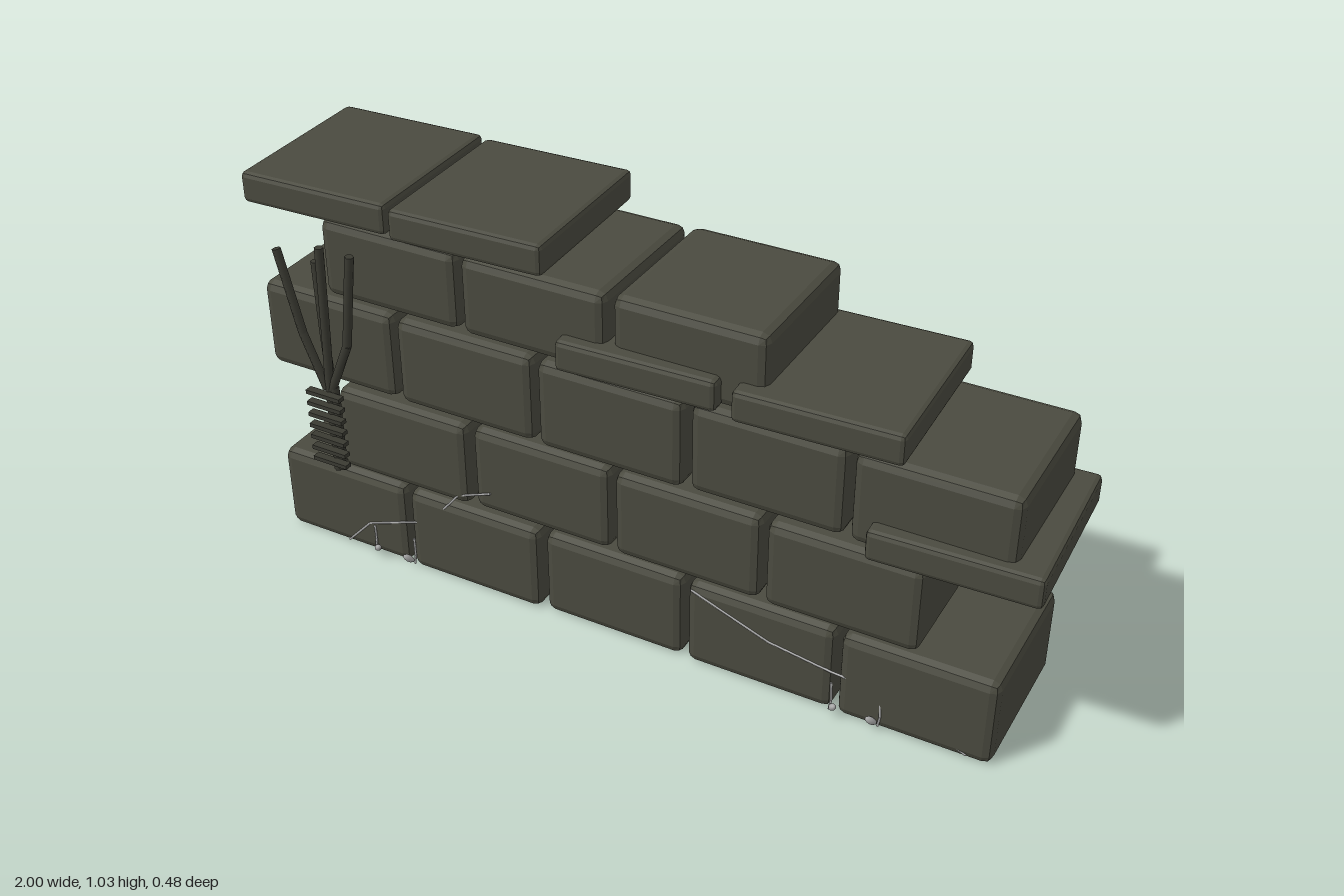
import * as THREE from 'three';
import { RoundedBoxGeometry } from 'three/addons/geometries/RoundedBoxGeometry.js';

export function createModel() {
  const wall = new THREE.Group();
  wall.name = 'ruinedWall';
  const stone = new THREE.MeshStandardMaterial({ name: 'mossy stone', color: 0x4a4a3f });
  const iron = new THREE.MeshStandardMaterial({ name: 'dark iron', color: 0x3a3a32 });
  const pale = new THREE.MeshStandardMaterial({ name: 'pale root', color: 0xa8a8a8 });

  const add = (parent, name, geometry, material, x = 0, y = 0, z = 0) => {
    const mesh = new THREE.Mesh(geometry, material);
    mesh.name = name;
    mesh.position.set(x, y, z);
    parent.add(mesh);
    return mesh;
  };

  // Faceted block with worn edges
  const wornBox = (w, h, d, r) => {
    const g = new RoundedBoxGeometry(w, h, d, 1, r);
    g.computeVertexNormals();
    return g;
  };

  // Courses of stone blocks, stepped down to the right
  const courses = [
    { count: 5, x: -0.81, y0: 0, y1: 0.23 },
    { count: 4, x: -0.614, y0: 0.245, y1: 0.472 },
    { count: 5, x: -0.81, y0: 0.488, y1: 0.716 },
    { count: 3, x: -0.614, y0: 0.733, y1: 0.932 },
  ];
  courses.forEach(({ count, x, y0, y1 }, row) => {
    for (let i = 0; i < count; i++) {
      const depthShift = [0, 0.004, -0.004][(i + row) % 3];
      add(wall, 'stoneBlock', wornBox(0.374, y1 - y0, 0.393, 0.022), stone,
        x + i * 0.388, (y0 + y1) / 2, -0.03 + depthShift);
    }
  });

  // Overhanging cap slabs, slightly twisted
  const slabs = [
    [-0.793, 0.988], [-0.383, 0.988],
    [0.042, 0.772], [0.475, 0.772], [0.797, 0.523],
  ];
  for (const [x, y] of slabs) {
    add(wall, 'capSlab', wornBox(0.392, 0.077, 0.434, 0.012), stone, x, y, -0.016)
      .rotation.y = 0.032;
  }

  // Branching iron fixture with a ribbed handle
  const fixture = new THREE.Group();
  fixture.name = 'branchingFixture';
  wall.add(fixture);
  const bar = (name, points, r, material, parent) => {
    for (let i = 1; i < points.length; i++) {
      const a = new THREE.Vector3(...points[i - 1]);
      const b = new THREE.Vector3(...points[i]);
      const dir = b.clone().sub(a);
      const mid = a.clone().add(b).multiplyScalar(0.5);
      add(parent, name, new THREE.CylinderGeometry(r, r, dir.length(), 6), material, ...mid)
        .quaternion.setFromUnitVectors(new THREE.Vector3(0, 1, 0), dir.normalize());
    }
  };
  [[-0.798, 0.193, 0.26], [-0.782, 0.213, 0.268], [-0.768, 0.211, 0.272]].forEach(([x, z, y]) =>
    bar('handleRod', [[x, y, z], [x, 0.51, z]], 0.011, iron, fixture));
  const prongs = [
    [[-0.79, 0.5, 0.213], [-0.845, 0.64, 0.213], [-0.895, 0.853, 0.213]],
    [[-0.792, 0.5, 0.193], [-0.797, 0.64, 0.193], [-0.8, 0.835, 0.193]],
    [[-0.782, 0.5, 0.213], [-0.776, 0.64, 0.213], [-0.768, 0.887, 0.213]],
    [[-0.775, 0.5, 0.213], [-0.715, 0.64, 0.213], [-0.682, 0.885, 0.213]],
  ];
  prongs.forEach((p) => bar('prong', p, 0.011, iron, fixture));
  for (let i = 0; i < 7; i++) {
    add(fixture, 'handleRib', new THREE.BoxGeometry(0.098, 0.011, 0.02), iron,
      -0.785, 0.3 + i * 0.032, 0.231);
  }

  // Thin pale roots creeping over the lower blocks
  const roots = [
    [[-0.81, 0.01], [-0.74, 0.085], [-0.55, 0.155], [-0.43, 0.175], [-0.31, 0.19]],
    [[-0.55, 0.155], [-0.46, 0.265], [-0.365, 0.302]],
    [[0.18, 0.215], [0.38, 0.14], [0.54, 0.115], [0.68, 0.105], [0.87, 0.01]],
  ];
  for (const root of roots) {
    bar('creepingRoot', root.map(([x, y]) => [x, y, 0.167]), 0.003, pale, wall);
  }

  // Small pale sprouts at the foot of the wall
  const sprouts = [[-0.725, 0.6], [-0.605, -0.4], [0.54, 0.5], [0.66, -0.5]];
  for (const [x, lean] of sprouts) {
    const sprout = new THREE.Group();
    sprout.name = 'sprout';
    sprout.position.set(x, 0.008, 0.17);
    wall.add(sprout);
    bar('sproutStem', [[0, 0.075, -0.004], [0.005, 0.03, 0.002], [0, 0, 0]], 0.003, pale, sprout);
    const bud = add(sprout, 'sproutBud', new THREE.SphereGeometry(0.011, 8, 6), pale, lean * 0.025, 0.02, 0.012);
    bud.scale.set(0.8, 1.7, 0.8);
    bud.rotation.set(0.7, 0, -lean);
  }
  return wall;
}
